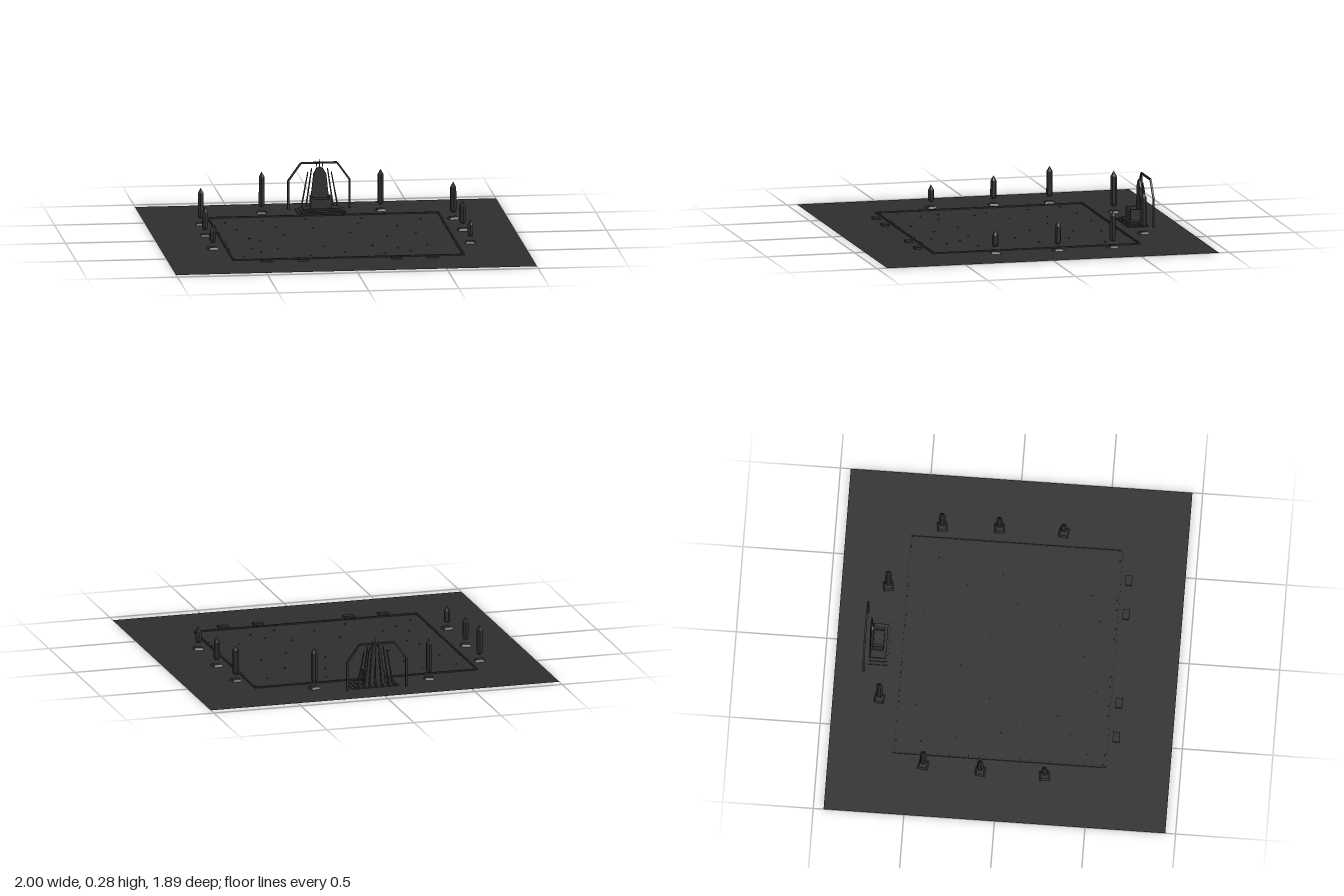
import * as THREE from 'three';

const stone = new THREE.MeshStandardMaterial({ color: 0x2c2c2c });
stone.name = 'charcoal stone';
const ground = new THREE.MeshStandardMaterial({ color: 0x2d2d2d, side: THREE.DoubleSide });
ground.name = 'charcoal ground';

function add(parent, name, geometry, x = 0, y = 0, z = 0, material = stone) {
  const mesh = new THREE.Mesh(geometry, material);
  mesh.name = name;
  mesh.position.set(x, y, z);
  parent.add(mesh);
  return mesh;
}

// Box standing on height y
function block(parent, name, w, h, d, x, y, z) {
  return add(parent, name, new THREE.BoxGeometry(w, h, d), x, y + h / 2, z);
}

function facet(geometry) {
  const g = geometry.toNonIndexed();
  g.computeVertexNormals();
  return g;
}

// Square bar between two points
function bar(parent, name, a, b, t, tipScale = 1) {
  const from = new THREE.Vector3(...a), to = new THREE.Vector3(...b);
  const dir = to.clone().sub(from);
  const g = new THREE.CylinderGeometry(t * 0.707 * tipScale, t * 0.707, dir.length(), 4);
  g.rotateY(Math.PI / 4);
  const mesh = add(parent, name, facet(g));
  mesh.position.copy(from).add(to).multiplyScalar(0.5);
  mesh.quaternion.setFromUnitVectors(new THREE.Vector3(0, 1, 0), dir.normalize());
  return mesh;
}

// Frustum with a square plan
function plinth(parent, name, bottom, top, h) {
  const g = new THREE.CylinderGeometry(top * 0.707, bottom * 0.707, h, 4);
  g.rotateY(Math.PI / 4);
  return add(parent, name, facet(g), 0, h / 2, 0);
}

// Floating pointed crystal above a low plinth
function crystalPillar(x, z, height, turn) {
  const pillar = new THREE.Group();
  pillar.name = 'crystalPillar';
  plinth(pillar, 'plinth', 0.056, 0.04, 0.012);
  const profile = [[0, 0.035], [0.012, 0.037], [0.018, 0.052], [0.017, height - 0.03], [0, height]]
    .map(([r, y]) => new THREE.Vector2(r, y));
  add(pillar, 'crystal', facet(new THREE.LatheGeometry(profile, 6)));
  pillar.position.set(x, 0, z);
  pillar.rotation.y = turn;
  return pillar;
}

function throne() {
  const group = new THREE.Group();
  group.name = 'throne';
  // Stepped dais
  block(group, 'lowerStep', 0.27, 0.006, 0.116, 0, 0, -0.706);
  block(group, 'middleStep', 0.235, 0.007, 0.1, 0, 0.006, -0.708);
  block(group, 'upperStep', 0.2, 0.008, 0.085, 0, 0.013, -0.71);
  // Seat and arms
  block(group, 'seat', 0.09, 0.05, 0.065, 0, 0.02, -0.715);
  for (const s of [-1, 1]) block(group, 'arm', 0.014, 0.065, 0.065, s * 0.05, 0.02, -0.715);
  // Tapered backrest with a peaked top
  const back = new THREE.Shape([[-0.056, 0.02], [0.056, 0.02], [0.035, 0.205], [0.018, 0.232],
    [0, 0.245], [-0.018, 0.232], [-0.035, 0.205]].map(p => new THREE.Vector2(...p)));
  add(group, 'backrest', new THREE.ExtrudeGeometry(back, { depth: 0.012, bevelEnabled: false }), 0, 0, -0.752);
  // Fan of spikes behind the backrest
  bar(group, 'centreSpike', [0, 0.02, -0.758], [0, 0.283, -0.758], 0.008, 0.3);
  for (const s of [-1, 1]) {
    bar(group, 'outerSpike', [s * 0.1, 0.02, -0.756], [s * 0.065, 0.21, -0.756], 0.008, 0.7);
    bar(group, 'middleSpike', [s * 0.075, 0.02, -0.756], [s * 0.044, 0.232, -0.756], 0.008, 0.7);
    bar(group, 'innerSpike', [s * 0.035, 0.02, -0.758], [s * 0.016, 0.262, -0.758], 0.007, 0.5);
  }
  return group;
}

function arch() {
  const group = new THREE.Group();
  group.name = 'arch';
  const points = [[-0.17, 0], [-0.17, 0.16], [-0.1, 0.257], [0.1, 0.257], [0.17, 0.16], [0.17, 0]];
  for (let i = 0; i < points.length - 1; i++) {
    bar(group, 'archBar', [...points[i], -0.784], [...points[i + 1], -0.784], 0.01);
  }
  return group;
}

export function createModel() {
  const model = new THREE.Group();
  model.name = 'arena';

  // Ground sheet
  const sheet = new THREE.PlaneGeometry(2, 1.886);
  sheet.rotateX(-Math.PI / 2);
  add(model, 'ground', sheet, 0, 0, 0, ground);

  // Low border and its studs
  const border = new THREE.Group();
  border.name = 'border';
  model.add(border);
  for (const s of [-1, 1]) {
    block(border, 'longEdge', 1.28, 0.007, 0.01, 0, 0, s * 0.585);
    block(border, 'sideEdge', 0.01, 0.007, 1.16, s * 0.638, 0, 0);
    for (const p of [0.11, 0.17, 0.28, 0.34, 0.57]) {
      for (const t of [-1, 1]) {
        block(border, 'stud', 0.006, 0.008, 0.006, t * p, 0, s * 0.577);
        block(border, 'stud', 0.006, 0.008, 0.006, s * 0.631, 0, t * p);
      }
    }
  }

  // Scattered chips inside the border
  const chips = [[-0.56, -0.44], [-0.35, -0.48], [-0.11, -0.5], [0.2, -0.48], [0.52, -0.42], [-0.52, -0.25],
    [-0.3, -0.3], [-0.1, -0.25], [0.16, -0.33], [0.37, -0.25], [-0.48, 0], [-0.43, 0.08], [-0.28, -0.08],
    [0.09, -0.1], [0.28, 0.03], [0.45, -0.06], [-0.5, 0.27], [-0.46, 0.38], [-0.36, 0.3], [-0.1, 0.26],
    [0, 0.42], [0.17, 0.27], [0.3, 0.35], [0.47, 0.29], [-0.57, 0.48], [-0.2, 0.5], [0.36, 0.44], [0.21, 0.49]];
  chips.forEach(([x, z], i) => {
    block(model, 'floorChip', 0.008, 0.004, 0.006, x, 0, z).rotation.y = i * 1.3;
  });

  // Pillars, shorter towards the front
  const pillars = [[0.33, -0.685, 0.235, 0.15], [0.7, -0.415, 0.208, 0.18],
    [0.714, -0.1, 0.167, 0.1], [0.714, 0.255, 0.132, -0.14]];
  for (const [x, z, height, turn] of pillars) {
    for (const s of [-1, 1]) model.add(crystalPillar(s * x, z, height, s * turn));
  }

  // Entrance slabs at the front
  for (const x of [-0.46, -0.26, 0.26, 0.46]) block(model, 'entranceSlab', 0.058, 0.01, 0.038, x, 0, 0.632);

  model.add(throne(), arch());
  return model;
}
